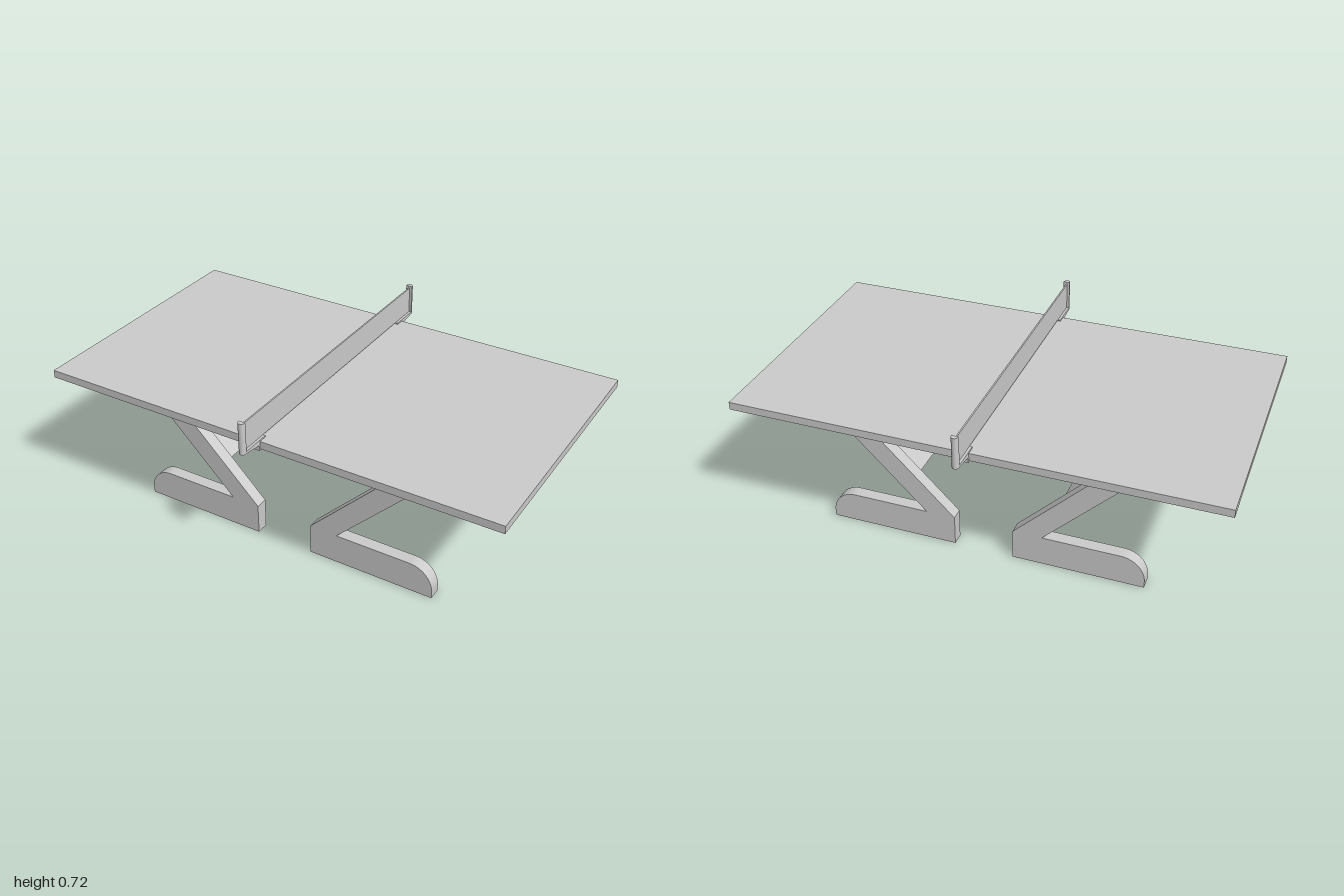
import * as THREE from 'three';

const material = new THREE.MeshStandardMaterial({ color: 0xcccccc, flatShading: true });

function addMesh(parent, name, geometry, x = 0, y = 0, z = 0) {
  const mesh = new THREE.Mesh(geometry, material);
  mesh.name = name;
  mesh.position.set(x, y, z);
  parent.add(mesh);
  return mesh;
}

const box = (w, h, d) => new THREE.BoxGeometry(w, h, d);

// Extrude a shape, centred on its own thickness
function slab(shape, depth) {
  const geometry = new THREE.ExtrudeGeometry(shape, { depth, bevelEnabled: false, curveSegments: 8 });
  return geometry.translate(0, 0, -depth / 2);
}

const polygon = points => new THREE.Shape(points.map(p => new THREE.Vector2(...p)));

// Foot with a rounded toe and a 45 degree strut in one outline
function legShape() {
  const s = new THREE.Shape();
  s.moveTo(0.125, 0);
  s.lineTo(0.67, 0);
  s.lineTo(0.67, 0.03);
  s.absarc(0.57, 0.03, 0.1, 0, Math.PI / 2, false);
  s.lineTo(0.247, 0.13);
  s.lineTo(0.673, 0.556);
  s.lineTo(0.551, 0.556);
  s.lineTo(0.125, 0.13);
  s.closePath();
  return s;
}

// Post outline: flat towards the net, round on the outside
function postShape() {
  const s = new THREE.Shape();
  s.moveTo(0.014, -0.641);
  s.lineTo(-0.014, -0.641);
  s.lineTo(-0.014, -0.646);
  s.absarc(0, -0.646, 0.014, Math.PI, Math.PI * 2, false);
  s.closePath();
  return s;
}

export function createModel() {
  const model = new THREE.Group();
  model.name = 'tableTennisTable';

  // Top
  addMesh(model, 'tableTop', box(2, 0.033, 1.11), 0, 0.5725, 0);

  // Two leg frames, each with a tilted cross board
  const leg = slab(legShape(), 0.053);
  for (const turn of [0, Math.PI]) {
    const frame = new THREE.Group();
    frame.name = turn ? 'rightLegFrame' : 'leftLegFrame';
    frame.rotation.y = turn;
    for (const z of [-0.366, 0.366]) addMesh(frame, 'leg', leg, 0, 0, z);
    const board = addMesh(frame, 'crossBoard', box(0.14, 0.034, 0.68), 0.363, 0.305, 0);
    board.rotation.z = Math.PI / 4;
    model.add(frame);
  }

  // Net
  addMesh(model, 'net', box(0.006, 0.115, 1.284), 0, 0.6525, 0);

  // Net posts, each on an arm that clamps around the table edge
  const post = slab(postShape(), 0.134).rotateX(-Math.PI / 2);
  const clamp = slab(polygon([
    [0.518, 0.595], [0.518, 0.589], [0.555, 0.589], [0.555, 0.556], [0.518, 0.556],
    [0.518, 0.55], [0.561, 0.55], [0.561, 0.573], [0.645, 0.586], [0.645, 0.595],
  ]), 0.028).rotateY(-Math.PI / 2);
  for (const turn of [0, Math.PI]) {
    const holder = new THREE.Group();
    holder.name = turn ? 'backNetHolder' : 'frontNetHolder';
    holder.rotation.y = turn;
    addMesh(holder, 'netPost', post, 0, 0.652, 0);
    addMesh(holder, 'clamp', clamp);
    model.add(holder);
  }

  return model;
}
